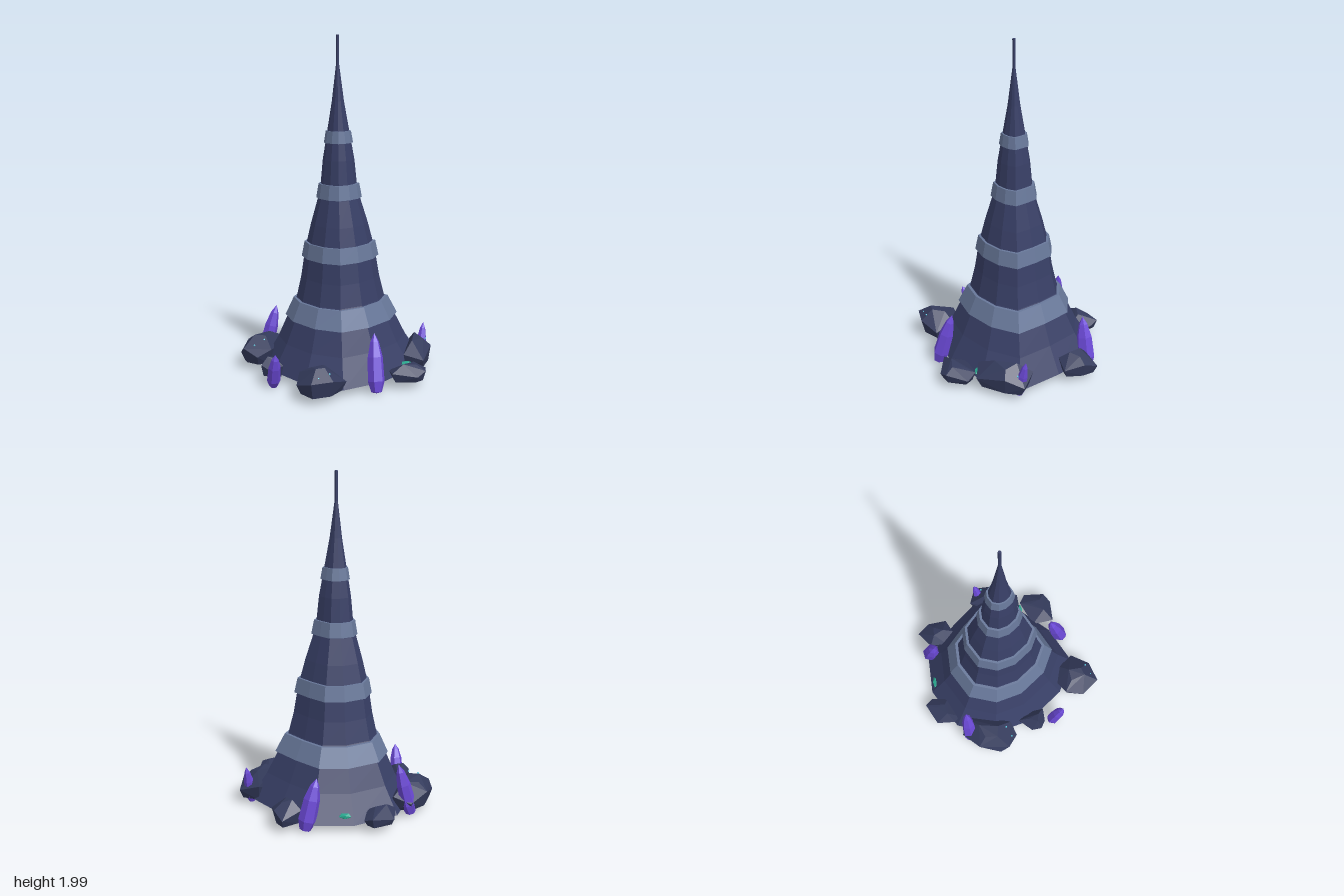
import * as THREE from 'three';
import { ConvexGeometry } from 'three/addons/geometries/ConvexGeometry.js';

const flat = (name, color, side = THREE.FrontSide) =>
  Object.assign(new THREE.MeshStandardMaterial({ color, flatShading: true, side }), { name });

// Irregular plan of the spire, scaled at every height
const CENTRE = [-0.007, -0.014];
const OUTLINE = [
  [-0.05, -0.354], [0.15, -0.317], [0.283, -0.206], [0.308, -0.02], [0.31, 0.178], [0.15, 0.268],
  [-0.05, 0.292], [-0.23, 0.249], [-0.295, 0.095], [-0.283, -0.108], [-0.206, -0.26],
].map(([x, z]) => [x - CENTRE[0], z - CENTRE[1]]);

// Skin a profile of [height, scale] pairs around the plan
function loft(profile) {
  const n = OUTLINE.length, pos = [], index = [];
  for (const [y, s] of profile)
    for (const [x, z] of OUTLINE) pos.push(CENTRE[0] + x * s, y, CENTRE[1] + z * s);
  for (let i = 0; i < profile.length - 1; i++)
    for (let j = 0; j < n; j++) {
      const a = i * n + j, b = i * n + (j + 1) % n;
      index.push(a, a + n, b, b, a + n, b + n);
    }
  const g = new THREE.BufferGeometry();
  g.setAttribute('position', new THREE.Float32BufferAttribute(pos, 3));
  g.setIndex(index);
  const out = g.toNonIndexed();
  out.computeVertexNormals();
  return out;
}

// Boulder: flat foot, wide waist from a plan outline, small sloping crown
function rockGeometry(outline, top) {
  const cx = outline.reduce((t, p) => t + p[0], 0) / outline.length;
  const cz = outline.reduce((t, p) => t + p[1], 0) / outline.length;
  const pts = [];
  outline.forEach(([x, z], i) => {
    const at = (k, y) => pts.push(new THREE.Vector3(cx + (x - cx) * k, y, cz + (z - cz) * k));
    at(0.82, 0.045);
    at(1, 0.045 + (top - 0.045) * (i % 2 ? 0.35 : 0.6));
    if (i % 2 === 0) at(0.4, top - 0.01 * (i % 3));
  });
  return new ConvexGeometry(pts);
}

export function createModel() {
  const model = new THREE.Group();
  const stone = flat('dark slate', 0x383f66, THREE.DoubleSide);
  const rock = flat('boulder slate', 0x343b5c);
  const bandMat = flat('pale slate', 0x68789a);
  const violet = flat('violet crystal', 0x6b49d6);
  const teal = flat('teal crystal', 0x27a58c);
  const cyan = flat('cyan glint', 0x62d2ea);
  const add = (name, geometry, material, parent = model) => {
    const m = new THREE.Mesh(geometry, material);
    m.name = name;
    parent.add(m);
    return m;
  };
  const group = (name) => {
    const g = new THREE.Group();
    g.name = name;
    model.add(g);
    return g;
  };

  // Hollow spire with a thin tip
  add('spire', loft([
    [0.045, 1.42], [0.2, 1.14], [0.33, 0.96], [0.45, 0.78], [0.58, 0.69], [0.7, 0.635], [0.79, 0.58],
    [0.9, 0.5], [1.05, 0.37], [1.14, 0.315], [1.28, 0.275], [1.45, 0.19], [1.62, 0.105], [1.83, 0.028], [2, 0.028], [2, 0],
  ]), stone);

  // Raised mineral bands: bottom, top, outer scales, inner scale
  const bands = group('mineralBands');
  for (const [lo, hi, a, b, inner] of [
    [0.335, 0.445, 1.0, 0.84, 0.75], [0.7, 0.79, 0.68, 0.625, 0.55],
    [1.055, 1.14, 0.4, 0.355, 0.3], [1.38, 1.45, 0.253, 0.218, 0.17],
  ]) add('band', loft([[lo, inner], [lo, a], [hi, b], [hi, inner]]), bandMat, bands);

  // Boulders around the foot
  const rocks = group('boulders');
  [
    [0.195, [[-0.56, 0.35], [-0.55, 0.22], [-0.46, 0.145], [-0.357, 0.163], [-0.31, 0.246], [-0.31, 0.37], [-0.44, 0.4]]],
    [0.155, [[-0.5, -0.14], [-0.46, -0.19], [-0.357, -0.206], [-0.366, -0.108], [-0.42, -0.04], [-0.48, -0.086]]],
    [0.2, [[-0.434, -0.385], [-0.41, -0.44], [-0.29, -0.517], [-0.15, -0.526], [-0.083, -0.446], [-0.105, -0.39], [-0.326, -0.255], [-0.41, -0.286]]],
    [0.14, [[-0.05, -0.5], [0.034, -0.58], [0.17, -0.548], [0.175, -0.483], [0.095, -0.418], [-0.043, -0.446]]],
    [0.18, [[0.43, -0.23], [0.56, -0.22], [0.55, -0.13], [0.49, -0.025], [0.394, -0.055], [0.37, -0.14]]],
    [0.205, [[0.44, 0.17], [0.505, 0.28], [0.42, 0.36], [0.255, 0.446], [0.163, 0.37], [0.357, 0.215]]],
    [0.14, [[-0.05, 0.477], [0.034, 0.37], [0.2, 0.415], [0.225, 0.486], [0.126, 0.575], [0.06, 0.572]]],
  ].forEach(([top, outline]) => add('boulder', rockGeometry(outline, top), rock, rocks));

  // Leaning violet crystals: foot, tip, radius
  const crystals = group('violetCrystals');
  const shard = [[0, 0], [0.6, 0.02], [0.95, 0.2], [0.85, 0.6], [0.5, 0.85], [0, 1]];
  for (const [foot, tip, r] of [
    [[-0.155, 0.01, 0.455], [-0.1, 0.335, 0.38], 0.052],
    [[0.425, 0.01, -0.255], [0.35, 0.315, -0.27], 0.056],
    [[0.425, 0.015, 0.265], [0.475, 0.25, 0.25], 0.034],
    [[-0.185, 0.02, -0.49], [-0.115, 0.335, -0.45], 0.048],
    [[-0.495, 0.01, -0.04], [-0.535, 0.22, 0.025], 0.042],
  ]) {
    const a = new THREE.Vector3(...foot), d = new THREE.Vector3(...tip).sub(a), len = d.length();
    const g = new THREE.LatheGeometry(shard.map(([x, y]) => new THREE.Vector2(x * r, y * len)), 6);
    const m = add('crystal', g, violet, crystals);
    m.position.copy(a);
    m.quaternion.setFromUnitVectors(new THREE.Vector3(0, 1, 0), d.normalize());
  }

  // Small teal gems low on the spire
  const gems = group('tealGems');
  for (const [x, y, z, turn] of [
    [0.235, 0.09, -0.385, -0.7], [0.175, 0.085, 0.38, -0.7], [-0.24, 0.075, 0.12, 0.5], [-0.18, 0.08, -0.28, 0.9],
  ]) {
    const m = add('gem', new THREE.IcosahedronGeometry(0.03, 0), teal, gems);
    m.position.set(x, y, z);
    m.rotation.y = turn;
    m.scale.set(1.35, 0.6, 0.8);
  }

  // Tiny glints on the boulders
  const glints = group('glints');
  for (const [x, y, z] of [
    [-0.4, 0.165, -0.325], [-0.335, 0.19, -0.31], [-0.5, 0.155, 0.345], [-0.435, 0.17, 0.365], [0.45, 0.16, 0.29],
  ]) add('glint', new THREE.OctahedronGeometry(0.007, 0), cyan, glints).position.set(x, y, z);

  return model;
}
